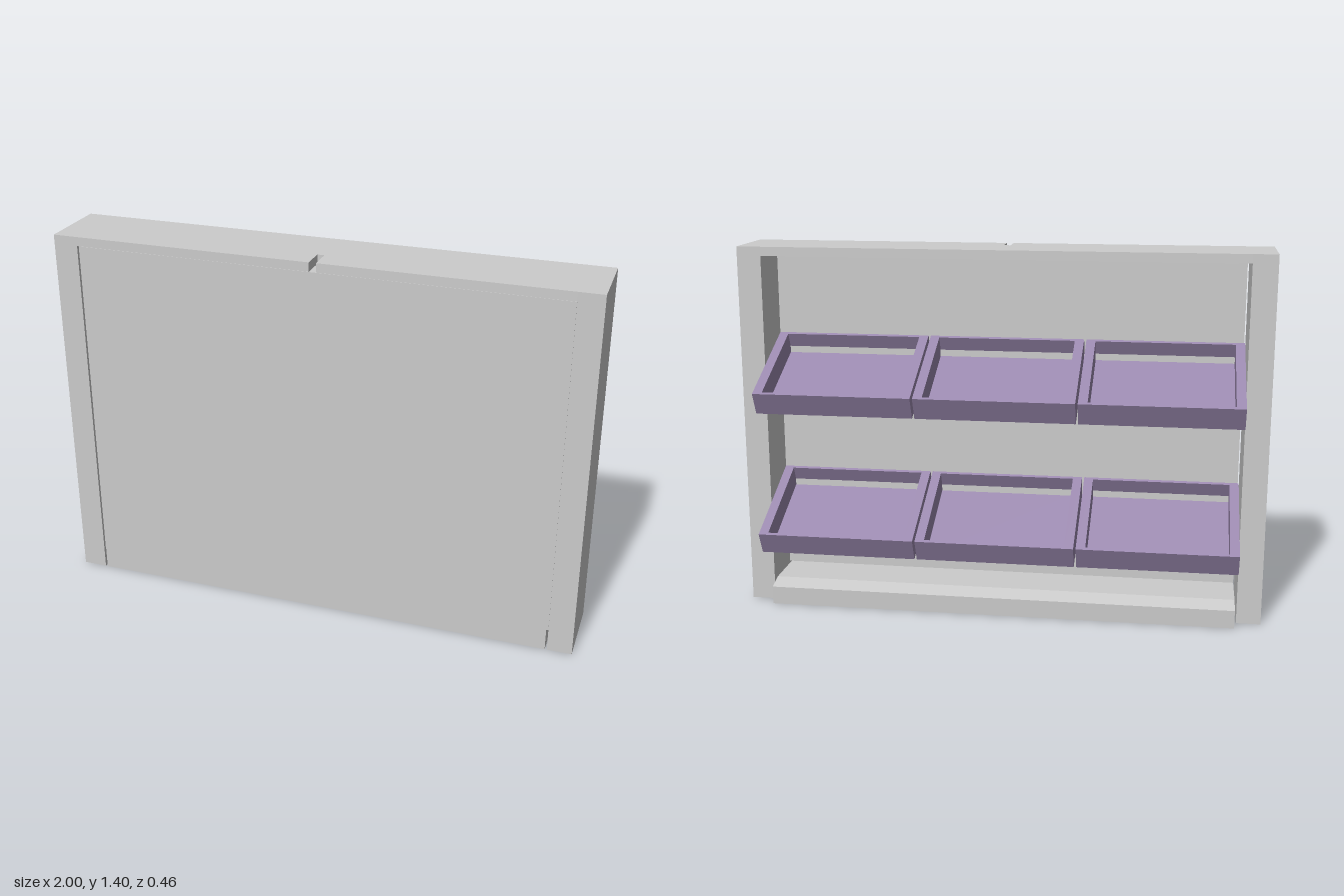
import * as THREE from 'three';

const grey = new THREE.MeshStandardMaterial({ color: 0xcccccc });
const purple = new THREE.MeshStandardMaterial({ color: 0x9a88ae });

// Box given by its minimum and maximum corners
function box(name, x0, x1, y0, y1, z0, z1, material = grey) {
  const mesh = new THREE.Mesh(new THREE.BoxGeometry(x1 - x0, y1 - y0, z1 - z0), material);
  mesh.position.set((x0 + x1) / 2, (y0 + y1) / 2, (z0 + z1) / 2);
  mesh.name = name;
  return mesh;
}

// Outline extruded by a depth
function extrude(name, points, depth) {
  const shape = new THREE.Shape(points.map(([x, y]) => new THREE.Vector2(x, y)));
  const mesh = new THREE.Mesh(new THREE.ExtrudeGeometry(shape, { depth, bevelEnabled: false }), grey);
  mesh.name = name;
  return mesh;
}

// Open tray: local origin is the middle of its outer top edge, +z runs inward
function createTray() {
  const w = 0.298, h = 0.092, len = 0.405, side = 0.035, end = 0.012;
  const tray = new THREE.Group();
  tray.name = 'tray';
  tray.add(
    box('trayFloor', -w + side, w - side, -h, -h + 0.012, end, len - end, purple),
    box('trayOuterWall', -w + side, w - side, -h, 0, 0, end, purple),
    box('trayInnerWall', -w + side, w - side, -h, 0, len - end, len, purple),
    box('traySideLeft', w - side, w, -h, 0, 0, len, purple),
    box('traySideRight', -w, -w + side, -h, 0, 0, len, purple)
  );
  return tray;
}

export function createModel() {
  const model = new THREE.Group();
  model.name = 'trayCabinet';
  const inner = 0.908, top = 1.4, back = -0.05, front = 0.23;

  // Side posts
  model.add(box('postLeft', inner, 1, 0, top, back, front));
  model.add(box('postRight', -1, -inner, 0, top, back, front));

  // Top beam with a narrow slot in its front edge
  const s = 0.013;
  const beam = extrude('topBeam', [
    [-inner, -front], [-s, -front], [-s, -0.14], [s, -0.14],
    [s, -front], [inner, -front], [inner, -back], [-inner, -back]
  ], 0.034);
  beam.rotation.x = -Math.PI / 2;
  beam.position.y = top - 0.034;
  model.add(beam);

  // Solid panel closing the front
  model.add(box('frontPanel', -0.9, inner, 0.088, 1.366, 0.15, 0.232));

  // Base ledge with a sloped back edge, narrow gaps at both ends
  const ledge = extrude('baseLedge', [
    [-front, 0], [0.105, 0], [0.105, 0.07], [0.035, 0.088], [-front, 0.088]
  ], 1.8);
  ledge.rotation.y = Math.PI / 2;
  ledge.position.x = -0.9;
  model.add(ledge);

  // Two rows of three tilted trays
  for (const y of [0.875, 0.328]) {
    for (const i of [-1, 0, 1]) {
      const tray = createTray();
      tray.position.set(i * 0.605, y, -0.23);
      tray.rotation.x = -0.44;
      model.add(tray);
    }
  }
  return model;
}
